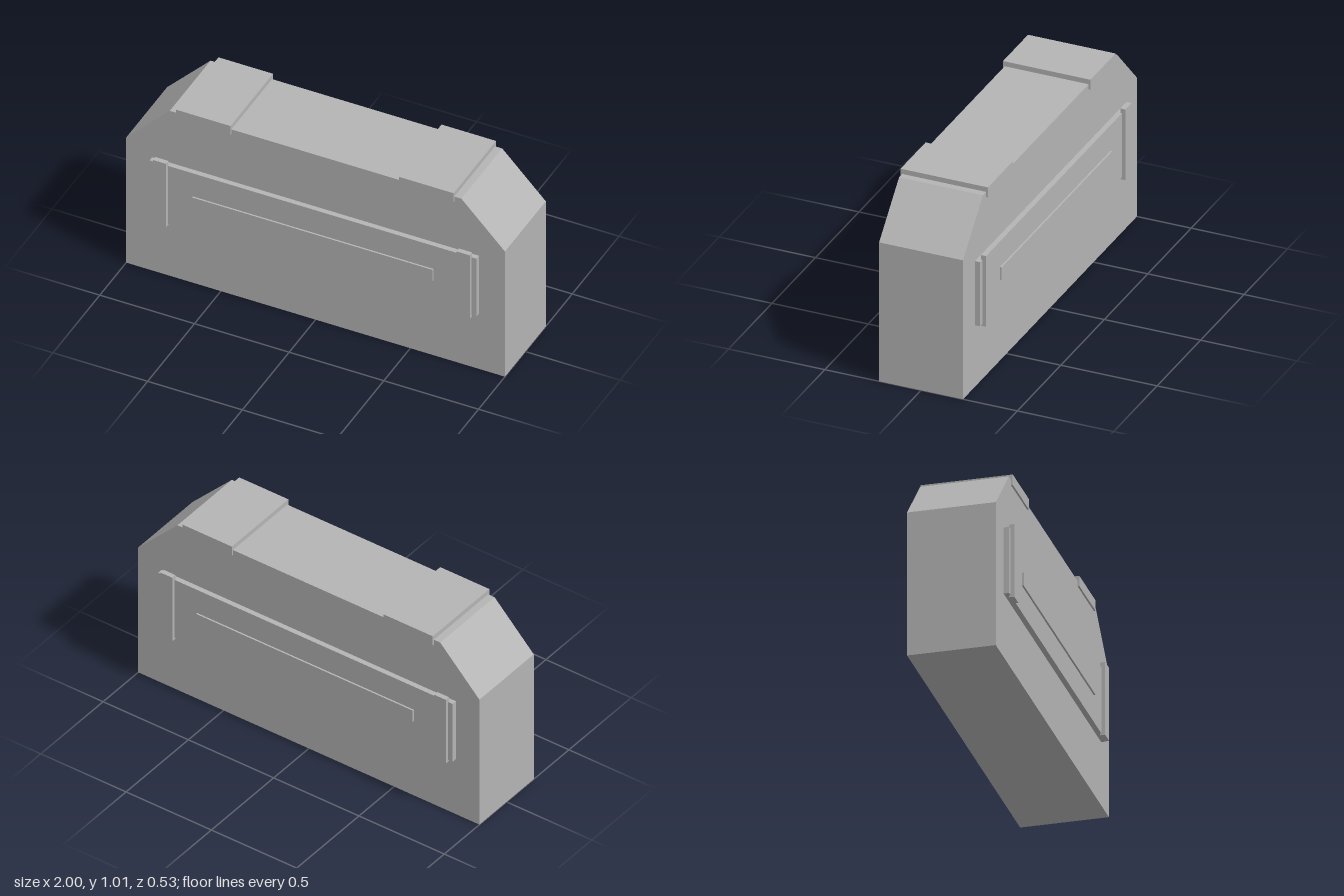
import * as THREE from 'three';

export function createModel() {
  const model = new THREE.Group();
  model.name = 'barrier';
  const grey = new THREE.MeshStandardMaterial({ color: 0xb4b4b4 });
  grey.name = 'concrete grey';

  // Box given by its centre and size
  function box(name, x, y, z, w, h, d) {
    const mesh = new THREE.Mesh(new THREE.BoxGeometry(w, h, d), grey);
    mesh.name = name;
    mesh.position.set(x, y, z);
    model.add(mesh);
  }

  // Slab with chamfered upper corners
  const outline = new THREE.Shape([
    [-1, 0], [1, 0], [1, 0.747], [0.77, 0.984], [-0.77, 0.984], [-1, 0.747],
  ].map(([x, y]) => new THREE.Vector2(x, y)));
  const depth = 0.436;
  const slab = new THREE.ExtrudeGeometry(outline, { depth, bevelEnabled: false });
  slab.translate(0, 0, -depth / 2);
  const body = new THREE.Mesh(slab, grey);
  body.name = 'body';
  model.add(body);

  // Panel, raised strip and end clamps on the front and back
  for (const side of [1, -1]) {
    const label = side > 0 ? 'front' : 'back';
    box(label + 'Panel', 0, 0.503, side * 0.228, 1.726, 0.345, 0.034);
    box(label + 'Strip', 0, 0.504, side * 0.245, 1.27, 0.068, 0.018);
    for (const x of [0.802, -0.802]) {
      box(label + (x > 0 ? 'LeftClamp' : 'RightClamp'), x, 0.51, side * 0.251, 0.07, 0.38, 0.026);
    }
  }

  // Caps wrapped over the top edge
  for (const x of [0.589, -0.589]) {
    box(x > 0 ? 'leftCap' : 'rightCap', x, 0.983, 0, 0.288, 0.054, 0.454);
  }

  return model;
}
